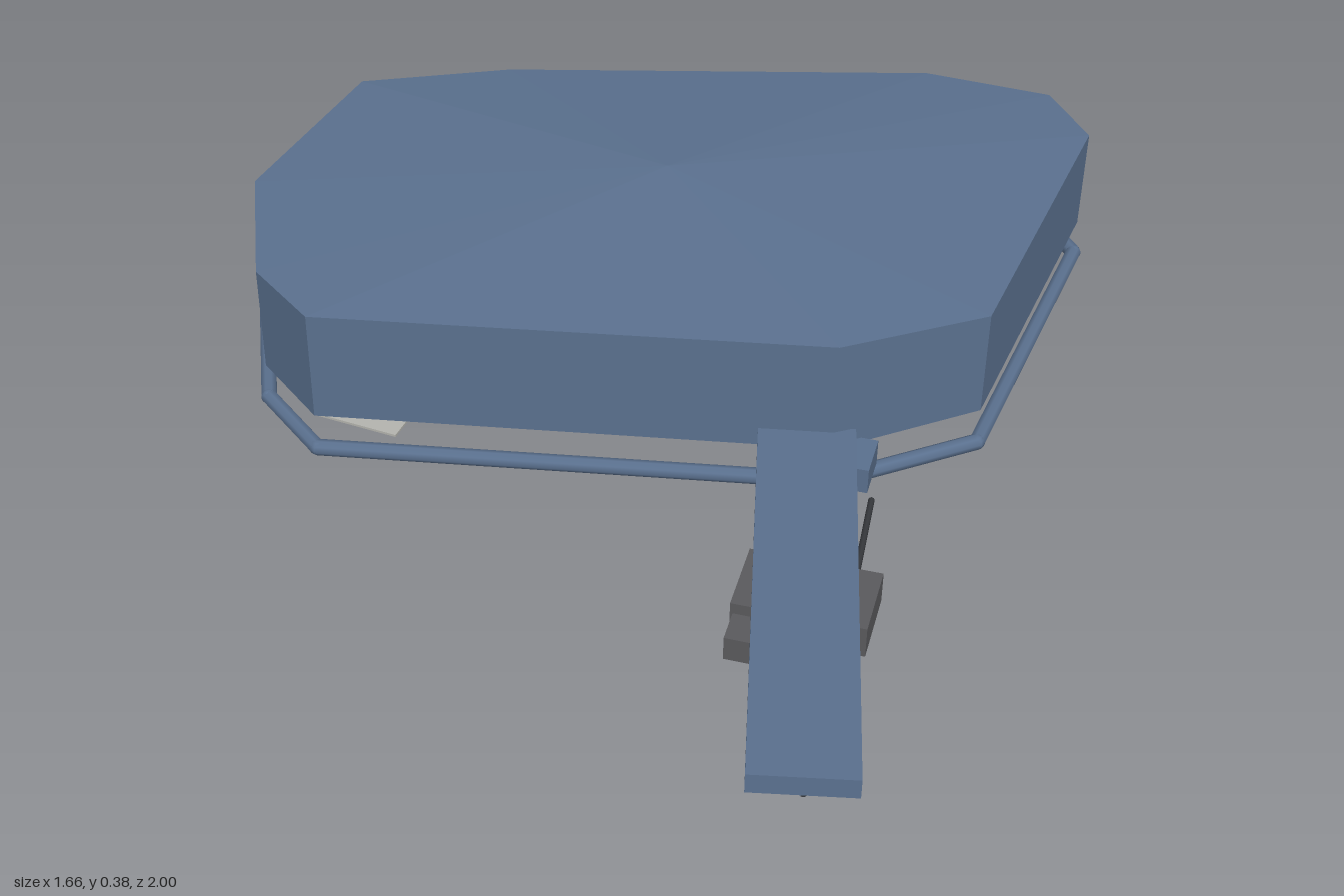
import * as THREE from 'three';

const mat = (name, color, side = THREE.FrontSide) => {
  const m = new THREE.MeshStandardMaterial({ color, side });
  m.name = name;
  return m;
};

// Plan outline [x, z], clockwise seen from above
const OUTLINE = [
  [0.44, -1], [0.715, -0.98], [0.82, -0.835], [0.72, -0.12], [0.46, 0.06],
  [-0.55, 0.245], [-0.7, 0.13], [-0.83, -0.175], [-0.76, -0.62], [-0.46, -0.76],
];
const CX = 0, CZ = -0.4, APEX_LOW = 0.03;
const inset = (s) => OUTLINE.map(([x, z]) => [x * s, (z + 0.38) * s - 0.38]);
// Flat in the middle, rising toward both sides
const lift = (x) => Math.max(0, (Math.abs(x) - 0.48) / 0.35) * 0.025;
const BODY = inset(0.985);

// Faceted shell: shallow cone roof, straight walls, shallow cone underside
function shellGeometry() {
  const p = [];
  const low = BODY.map(([x, z]) => [x, 0.097 + lift(x), z]);
  const high = BODY.map(([x, z]) => [x, 0.34, z]);
  const roof = [CX, 0.385, CZ], keel = [CX, APEX_LOW, CZ];
  BODY.forEach((_, i) => {
    const j = (i + 1) % BODY.length;
    p.push(...roof, ...high[j], ...high[i]);
    p.push(...low[j], ...low[i], ...high[i], ...low[j], ...high[i], ...high[j]);
    p.push(...keel, ...low[i], ...low[j]);
  });
  const g = new THREE.BufferGeometry();
  g.setAttribute('position', new THREE.Float32BufferAttribute(p, 3));
  g.computeVertexNormals();
  return g;
}

// Height of the underside at a plan position
function undersideY(x, z) {
  const dx = x - CX, dz = z - CZ;
  for (let i = 0; i < BODY.length; i++) {
    const a = BODY[i], b = BODY[(i + 1) % BODY.length];
    const ax = a[0] - CX, az = a[1] - CZ, bx = b[0] - CX, bz = b[1] - CZ;
    const d = ax * bz - az * bx;
    const u = (dx * bz - dz * bx) / d, v = (ax * dz - az * dx) / d;
    if (u >= -1e-6 && v >= -1e-6) {
      return APEX_LOW + u * (0.097 + lift(a[0]) - APEX_LOW) + v * (0.097 + lift(b[0]) - APEX_LOW);
    }
  }
  return APEX_LOW;
}

export function createModel() {
  const group = new THREE.Group();
  const blue = mat('slate blue', 0x5a708e);
  const grey = mat('dark grey', 0x5a5a5d);
  const black = mat('charcoal', 0x36383c);
  const pale = mat('pale grey', 0xb4b4ae, THREE.DoubleSide);

  const add = (name, geo, material, x = 0, y = 0, z = 0, parent = group) => {
    const m = new THREE.Mesh(geo, material);
    m.name = name;
    m.position.set(x, y, z);
    parent.add(m);
    return m;
  };
  // Box given by its minimum and maximum corners
  const block = (name, material, a, b) => add(name,
    new THREE.BoxGeometry(b[0] - a[0], b[1] - a[1], b[2] - a[2]), material,
    (a[0] + b[0]) / 2, (a[1] + b[1]) / 2, (a[2] + b[2]) / 2);
  // Round bar between two points
  const rod = (name, material, a, b, r, parent = group, sides = 8) => {
    const from = new THREE.Vector3(...a), to = new THREE.Vector3(...b);
    const dir = to.clone().sub(from);
    const m = add(name, new THREE.CylinderGeometry(r, r, dir.length(), sides), material, 0, 0, 0, parent);
    m.position.copy(from).add(to).multiplyScalar(0.5);
    m.quaternion.setFromUnitVectors(new THREE.Vector3(0, 1, 0), dir.normalize());
    return m;
  };

  add('bodyShell', shellGeometry(), blue);

  // Tubular skirt ring following the outline
  const ring = new THREE.Group();
  ring.name = 'skirtRing';
  group.add(ring);
  const R = 0.0165;
  const pts = inset(0.985).map(([x, z]) => [x, 0.018 + lift(x), z]);
  pts.forEach((a, i) => {
    rod('ringTube', blue, a, pts[(i + 1) % pts.length], R, ring);
    add('ringJoint', new THREE.SphereGeometry(R, 8, 6), blue, ...a, ring);
  });

  // Thin ribs lying along the underside
  for (let i = -2; i <= 2; i++) {
    const x = i * 0.26;
    const [back, mid, front] = [-0.62, -0.39, -0.16].map((z) => [x, undersideY(x, z) - 0.002, z]);
    rod('undersideRib', black, back, mid, 0.006, group, 6);
    rod('undersideRib', black, mid, front, 0.006, group, 6);
  }

  // Pale plate beneath the front right corner
  const plate = add('undersidePlate', new THREE.BoxGeometry(0.18, 0.005, 0.17), pale, -0.47, 0.052, 0.1);
  plate.rotation.y = -0.12;

  // Sloping arm reaching forward
  const start = new THREE.Vector3(0.4, 0.117, 0.05), end = new THREE.Vector3(0.593, 0.147, 0.97);
  const arm = add('arm', new THREE.BoxGeometry(0.188, 0.04, start.distanceTo(end)), blue);
  arm.position.copy(start).add(end).multiplyScalar(0.5);
  arm.lookAt(end);

  // Fittings under the arm
  block('armMount', blue, [0.34, 0.055, 0.02], [0.535, 0.11, 0.115]);
  block('housing', grey, [0.375, 0.07, 0.42], [0.62, 0.135, 0.57]);
  block('housingFront', grey, [0.38, 0.062, 0.57], [0.58, 0.112, 0.635]);
  block('housingPad', blue, [0.44, 0.05, 0.45], [0.56, 0.071, 0.55]);
  rod('rearRod', black, [0.555, 0.105, 0.19], [0.575, 0.11, 0.49], 0.006);
  rod('frontRod', black, [0.53, 0.1, 0.6], [0.59, 0.1, 0.945], 0.005);
  return group;
}
